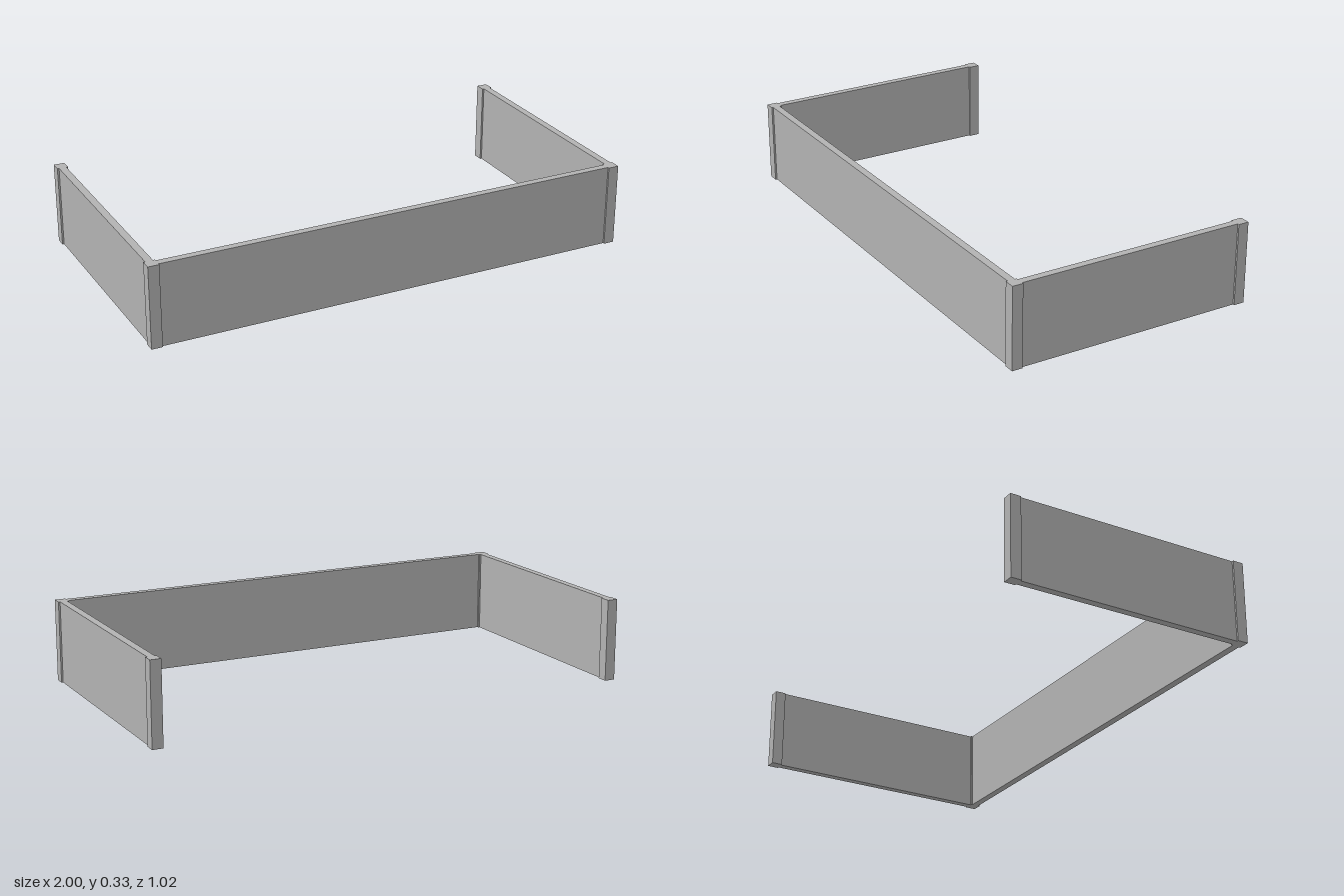
import * as THREE from 'three';

const HEIGHT = 0.333, POST = 0.044, WALL = 0.03;
const PX = 1 - POST / 2, PZ = 0.51 - POST / 2; // post centres

export function createModel() {
  const group = new THREE.Group();
  const grey = new THREE.MeshStandardMaterial({ color: 0xb2b2b2 });
  grey.name = 'plain grey';

  // Upright block standing on the ground
  const addBlock = (name, width, depth, x, z) => {
    const mesh = new THREE.Mesh(new THREE.BoxGeometry(width, HEIGHT, depth), grey);
    mesh.name = name;
    mesh.position.set(x, HEIGHT / 2, z);
    group.add(mesh);
  };

  // Front wall, running between the two front posts
  addBlock('frontWall', 2 * PX - POST, WALL, 0, PZ);

  // Each side: a wall with a square post at both ends; the back is open
  for (const [side, s] of [['left', 1], ['right', -1]]) {
    addBlock(side + 'Wall', WALL, 2 * PZ - POST, s * PX, 0);
    addBlock(side + 'FrontPost', POST, POST, s * PX, PZ);
    addBlock(side + 'BackPost', POST, POST, s * PX, -PZ);
  }
  return group;
}
